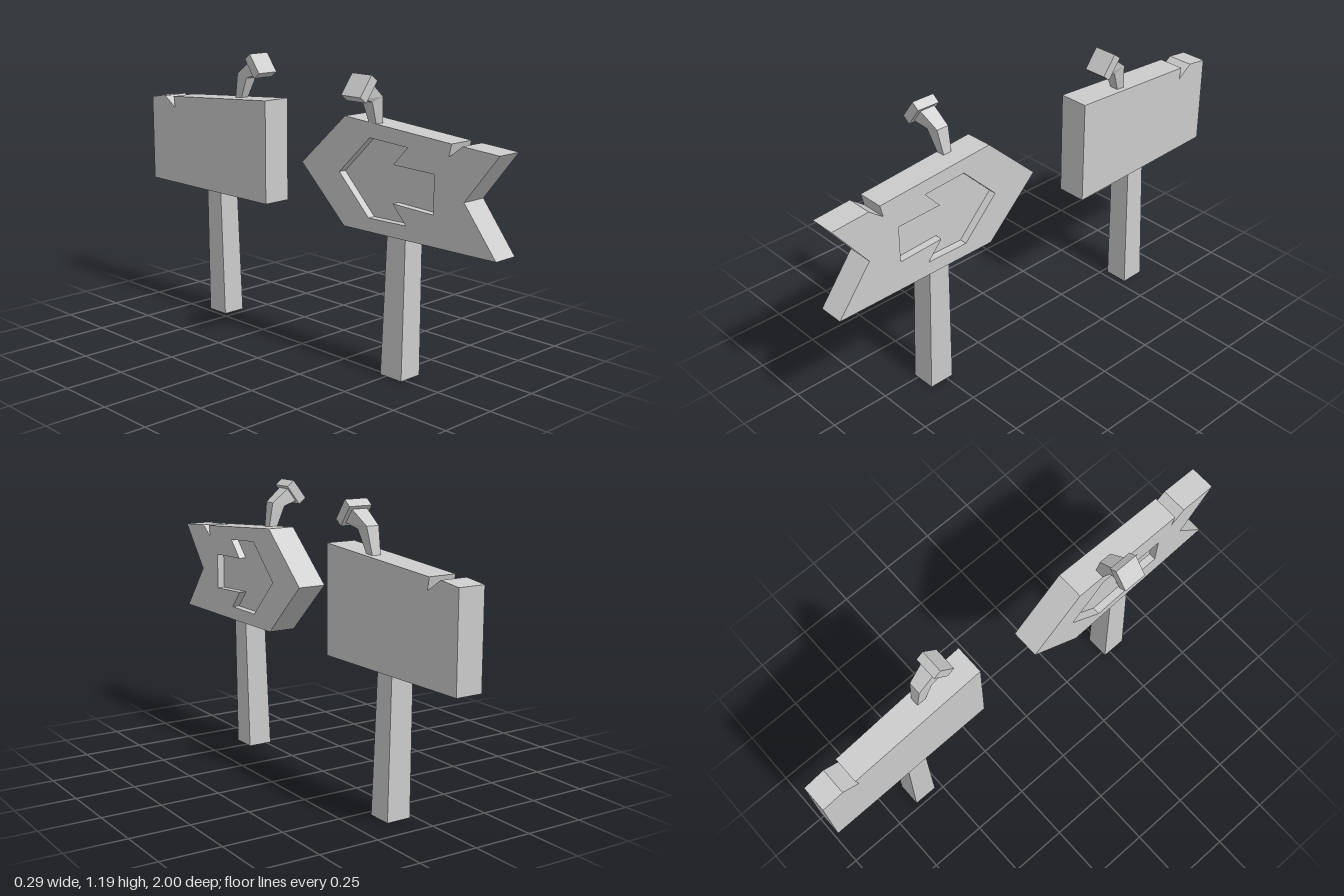
import * as THREE from 'three';

const material = new THREE.MeshStandardMaterial({ color: 0xcccccc, flatShading: true });

function addMesh(parent, geometry, name) {
  const mesh = new THREE.Mesh(geometry, material);
  mesh.name = name;
  parent.add(mesh);
  return mesh;
}

// Square-section loft: each section has a centre c, tilt angle a in the xy plane,
// and half sizes u (across) and v (along z).
function loft(sections) {
  const pos = [], idx = [];
  for (const { c, a = 0, u, v } of sections) {
    for (const [su, sv] of [[-1, -1], [1, -1], [1, 1], [-1, 1]]) {
      pos.push(c[0] + su * u * Math.cos(a), c[1] + su * u * Math.sin(a), c[2] + sv * v);
    }
  }
  for (let s = 0; s < sections.length - 1; s++) {
    for (let i = 0; i < 4; i++) {
      const p = s * 4 + i, q = s * 4 + (i + 1) % 4;
      idx.push(p, q + 4, q, p, p + 4, q + 4);
    }
  }
  const e = sections.length * 4 - 4;
  idx.push(0, 1, 2, 0, 2, 3, e, e + 2, e + 1, e, e + 3, e + 2);
  const g = new THREE.BufferGeometry();
  g.setAttribute('position', new THREE.Float32BufferAttribute(pos, 3));
  g.setIndex(idx);
  const flat = g.toNonIndexed();
  flat.computeVertexNormals();
  return flat;
}

// Board from a [z, y] outline; xRange(z) gives its two faces, t0..t1 the share of thickness used.
function board(outline, hole, xRange, t0 = 0, t1 = 1) {
  const points = (list) => list.map(([z, y]) => new THREE.Vector2(-z, y));
  const shape = new THREE.Shape(points(outline));
  if (hole) shape.holes.push(new THREE.Path(points(hole)));
  const g = new THREE.ExtrudeGeometry(shape, { depth: t1 - t0, bevelEnabled: false });
  g.translate(0, 0, t0).rotateY(Math.PI / 2);
  const p = g.attributes.position;
  for (let i = 0; i < p.count; i++) {
    const [a, b] = xRange(p.getZ(i));
    p.setX(i, THREE.MathUtils.lerp(a, b, p.getX(i)));
  }
  g.computeVertexNormals();
  return g;
}

// Bent nail leaning towards its own -x, with a square head
function bentNail(name) {
  const nail = new THREE.Group();
  nail.name = name;
  const tilt = Math.atan2(0.8, 0.6);
  addMesh(nail, loft([
    { c: [0, 0, 0], u: 0.018, v: 0.018 },
    { c: [-0.03, 0.108, 0.006], a: 0.28, u: 0.03, v: 0.027 },
    { c: [-0.097, 0.146, 0.014], a: tilt, u: 0.034, v: 0.034 },
  ]), 'nailShank');
  addMesh(nail, loft([
    { c: [-0.096, 0.145, 0.015], a: tilt, u: 0.049, v: 0.05 },
    { c: [-0.128, 0.169, 0.015], a: tilt, u: 0.049, v: 0.05 },
  ]), 'nailHead');
  return nail;
}

export function createModel() {
  const model = new THREE.Group();
  model.name = 'signposts';
  const lerp = THREE.MathUtils.lerp;

  // Arrow-shaped sign with an arrow recessed into both faces
  const arrowSign = new THREE.Group();
  arrowSign.name = 'arrowSign';
  const arrowOutline = [
    [1, 0.565], [0.26, 0.565], [0.025, 0.79], [0.26, 1.005], [0.787, 0.963],
    [0.775, 0.913], [0.836, 0.96], [1, 0.948], [0.85, 0.757],
  ];
  const arrowMark = [
    [0.71, 0.687], [0.512, 0.697], [0.578, 0.622], [0.39, 0.62], [0.233, 0.78],
    [0.39, 0.935], [0.58, 0.922], [0.512, 0.847], [0.71, 0.84],
  ];
  const arrowRange = (z) => [lerp(-0.024, 0, z), lerp(0.098, 0.109, z)];
  addMesh(arrowSign, board(arrowOutline, arrowMark, arrowRange), 'arrowBoard');
  addMesh(arrowSign, board(arrowMark, null, arrowRange, 0.28, 0.72), 'arrowRecessFloor');
  addMesh(arrowSign, loft([
    { c: [0.033, 0, 0.525], u: 0.053, v: 0.055 },
    { c: [0.049, 0.58, 0.522], u: 0.048, v: 0.047 },
  ]), 'arrowPost');
  const arrowNail = bentNail('arrowNail');
  arrowNail.position.set(0.01, 0.98, 0.402);
  arrowSign.add(arrowNail);
  model.add(arrowSign);

  // Plain sign with a chipped top edge
  const plainSign = new THREE.Group();
  plainSign.name = 'plainSign';
  const plainOutline = [
    [-0.228, 0.565], [-1, 0.565], [-1, 0.948], [-0.905, 0.96],
    [-0.835, 0.913], [-0.845, 0.963], [-0.228, 1.008],
  ];
  const plainRange = (z) => {
    const t = (z + 1) / 0.772;
    return [lerp(-0.005, 0.003, t), lerp(0.107, 0.13, t)];
  };
  addMesh(plainSign, board(plainOutline, null, plainRange), 'plainBoard');
  addMesh(plainSign, loft([
    { c: [0.073, 0, -0.583], u: 0.052, v: 0.053 },
    { c: [0.058, 0.58, -0.582], u: 0.048, v: 0.045 },
  ]), 'plainPost');
  const plainNail = bentNail('plainNail');
  plainNail.position.set(0.081, 0.98, -0.472);
  plainNail.rotation.y = Math.PI / 2;
  plainSign.add(plainNail);
  model.add(plainSign);

  return model;
}
